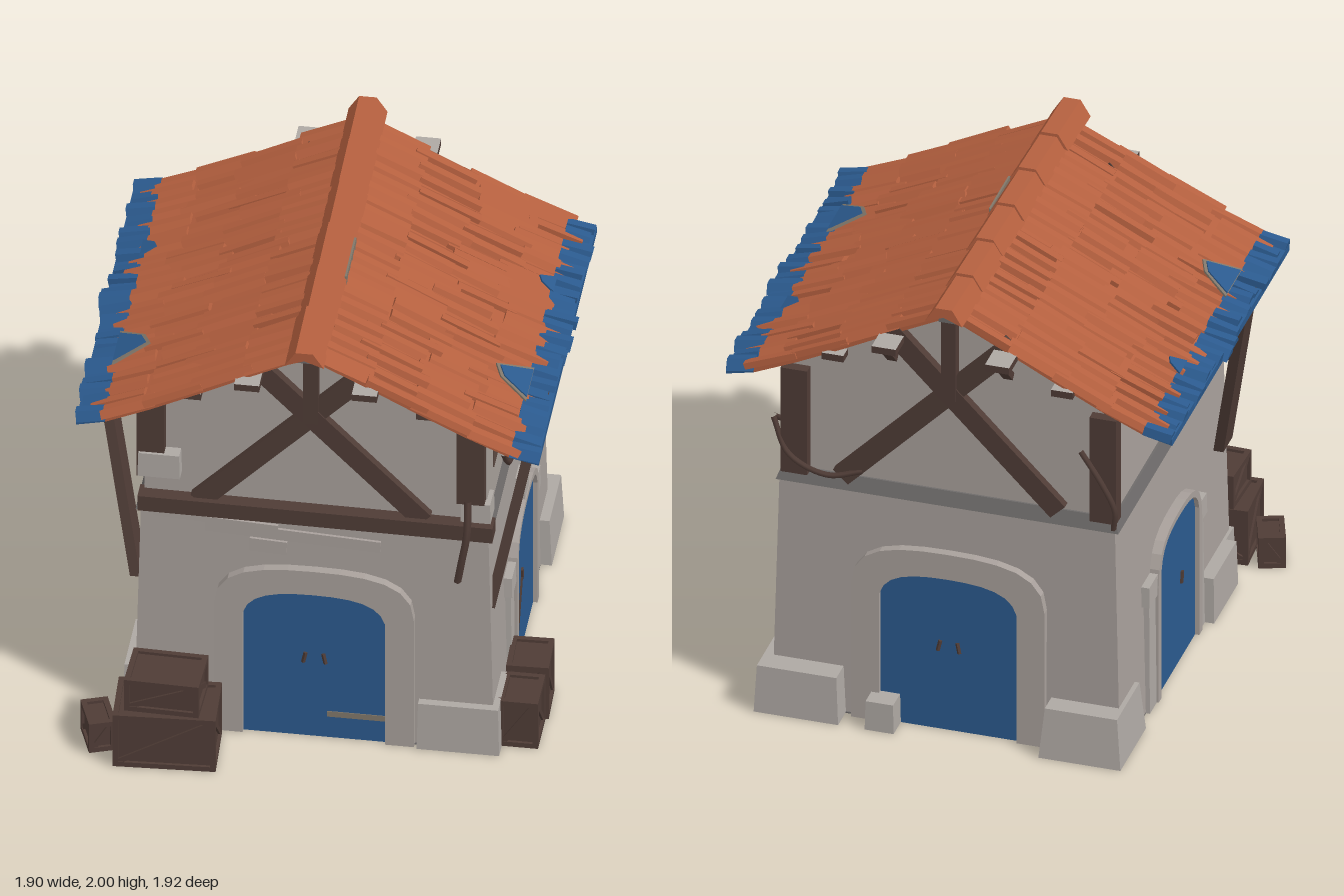
import * as THREE from 'three';
import { mergeGeometries } from 'three/addons/utils/BufferGeometryUtils.js';

const mat = (name, color) => Object.assign(new THREE.MeshStandardMaterial({ color }), { name });

export function createModel() {
  const model = new THREE.Group();
  model.name = 'timberHouse';
  const plaster = mat('plaster', 0xa8a09b), stone = mat('stone', 0xaea8a3), ledgeGrey = mat('ledgeGrey', 0x6e6b6a);
  const wood = mat('wood', 0x4f3c36), blue = mat('bluePaint', 0x2b5a8e), tile = mat('clayTile', 0xb5603f);
  const dark = mat('darkRecess', 0x5c4a43), worn = mat('wornTan', 0x81776a), footing = mat('footing', 0x686566);

  let seed = 7;
  const rnd = (a, b) => {
    seed = (seed * 16807) % 2147483647;
    return a + (b - a) * (seed / 2147483647);
  };
  const add = (name, geo, material, parent = model) => {
    const m = new THREE.Mesh(geo, material);
    m.name = name;
    parent.add(m);
    return m;
  };
  // moves the vertices of a box by a rule and recomputes its flat normals
  const bend = (geo, rule) => {
    const g = geo.toNonIndexed(), p = g.attributes.position, v = new THREE.Vector3();
    for (let i = 0; i < p.count; i++) {
      rule(v.fromBufferAttribute(p, i));
      p.setXYZ(i, v.x, v.y, v.z);
    }
    g.computeVertexNormals();
    return g;
  };
  const box = (name, material, [x0, x1], [y0, y1], [z0, z1], parent = model) => {
    const m = add(name, new THREE.BoxGeometry(x1 - x0, y1 - y0, z1 - z0), material, parent);
    m.position.set((x0 + x1) / 2, (y0 + y1) / 2, (z0 + z1) / 2);
    return m;
  };
  // stone block that narrows towards the top, with a dark underside
  const block = (name, X, Y, Z, k = 0.9, parent = model) => {
    const m = box(name, [stone, stone, stone, footing, stone, stone], X, Y, Z, parent);
    const groups = m.geometry.groups;
    m.geometry = bend(m.geometry, v => { if (v.y > 0) { v.x *= k; v.z *= k; } });
    m.geometry.groups = groups;
    return m;
  };
  const beam = (name, a, b, w, d, parent = model) => {
    const A = new THREE.Vector3(...a), B = new THREE.Vector3(...b);
    const m = add(name, new THREE.BoxGeometry(w, A.distanceTo(B), d), wood, parent);
    m.position.copy(A).lerp(B, 0.5);
    m.quaternion.setFromUnitVectors(new THREE.Vector3(0, 1, 0), B.sub(A).normalize());
    return m;
  };
  const extrude = (shape, depth) => new THREE.ExtrudeGeometry(shape, { depth, bevelEnabled: false, curveSegments: 6 });
  const polygon = pts => new THREE.Shape(pts.map(p => new THREE.Vector2(...p)));
  const cord = (name, pts, r = 0.012) => add(name, new THREE.TubeGeometry(
    new THREE.CatmullRomCurve3(pts.map(p => new THREE.Vector3(...p))), 20, r, 5), wood);

  // walls
  const lower = add('lowerWalls', bend(new THREE.BoxGeometry(1.44, 1.05, 1.47), v => {
    if (v.y > 0) { v.x *= 0.965; v.z *= 0.98; }
  }), plaster);
  lower.position.set(0.015, 0.525, -0.1);
  box('footingPlate', footing, [-0.705, 0.735], [-0.001, 0.004], [-0.84, 0.64]);
  const upper = add('upperWalls', extrude(polygon([[-0.67, 1.04], [0.7, 1.04], [0.7, 1.54], [0, 1.9], [-0.67, 1.54]]), 1.4), plaster);
  upper.position.z = -0.81;
  const ledge = box('wallLedge', ledgeGrey, [-0.7, 0.72], [1.03, 1.09], [-0.84, 0.63]);
  ledge.geometry = bend(ledge.geometry, v => { if (v.y > 0) { v.x *= 0.97; v.z *= 0.97; } });
  box('frontSillBeam', wood, [-0.69, 0.73], [1.035, 1.105], [0.57, 0.65]).rotation.z = -0.006;

  // gable timbers, front and back
  for (const [z, out] of [[0.6, 1], [-0.82, -1]]) {
    const end = new THREE.Group();
    end.name = out > 0 ? 'frontGableTimbers' : 'backGableTimbers';
    model.add(end);
    for (const s of [-1, 1]) {
      beam('crossBrace', [s * 0.45, 1.09, z], [-s * 0.25, 1.81, z + s * 0.004], 0.085, 0.05, end);
      beam('cornerPost', [s * 0.64, out > 0 ? 1.2 : 1.08, z], [s * 0.64, 1.56, z], 0.11, 0.07, end);
      if (out < 0) beam('purlinBracket', [s * 0.24, 1.67, z], [s * 0.24, 1.77, z - 0.1], 0.04, 0.03, end);
    }
    beam('kingPost', [0, 1.53, z + out * 0.01], [0, 1.92, z + out * 0.01], 0.06, 0.05, end);
  }
  block('postStone', [-0.69, -0.52], [1.21, 1.32], [0.52, 0.65], 0.96);
  block('postStoneRight', [0.6, 0.72], [1.11, 1.2], [0.52, 0.63], 0.96);

  for (const s of [-1, 1]) {
    // purlins with weathered grey tops
    for (const [x, y, z0, z1, w] of [[0.235, 1.78, -0.96, 0.77, 0.1], [0.475, 1.655, -0.87, 0.69, 0.09]]) {
      const c = s * x;
      box('purlin', [wood, wood, stone, wood, wood, wood], [c - w / 2, c + w / 2], [y - 0.016, y + 0.014], [z0, z1]);
    }
    // slanting eave brace, sheared so its faces stay square to the walls
    const brace = add('eaveBrace', bend(new THREE.BoxGeometry(0.042, 0.86, 0.12), v => {
      v.x += s * v.y * 0.2;
      v.z -= v.y * 0.245;
    }), wood);
    brace.position.set(s * 0.795, 1.09, 0.415);
  }
  for (const z of [0.345, -0.53])
    box('sideWindow', dark, [0.696, 0.704], [1.24, 1.385], [z - 0.08, z + 0.08]);
  box('ridgeBeam', [wood, wood, wood, wood, ledgeGrey, ledgeGrey], [-0.035, 0.035], [1.9, 1.95], [-0.87, 0.735]);

  // doorways
  const arch = (path, w, h, sh, reverse) => {
    const k = w * 0.55;
    if (reverse) {
      path.lineTo(w, 0);
      path.lineTo(w, sh);
      path.bezierCurveTo(w * 0.92, h - 0.02, k, h, 0, h);
      path.bezierCurveTo(-k, h, -w * 0.92, h - 0.02, -w, sh);
      path.lineTo(-w, 0);
    } else {
      path.moveTo(-w, 0);
      path.lineTo(-w, sh);
      path.bezierCurveTo(-w, h - 0.02, -k, h, 0, h);
      path.bezierCurveTo(k, h, w, h - 0.02, w, sh);
      path.lineTo(w, 0);
    }
    return path;
  };
  const doorway = (name, x, z, turn, w, ow, oh) => {
    const g = new THREE.Group();
    g.name = name;
    g.position.set(x, 0, z);
    g.rotation.y = turn;
    model.add(g);
    const ring = new THREE.Shape();
    arch(ring, ow, oh, oh - 0.2, false);
    arch(ring, w, 0.705, 0.59, true);
    add('doorSurround', extrude(ring, 0.072), plaster, g).position.z = -0.05;
    const leaf = arch(new THREE.Shape(), w, 0.705, 0.59, false);
    add('door', extrude(leaf, 0.008), blue, g).position.z = -0.004;
    return g;
  };
  for (const [name, x, z, turn] of [['frontDoorway', 0.018, 0.639, 0], ['backDoorway', 0.0, -0.839, Math.PI]]) {
    const g = doorway(name, x, z, turn, 0.285, 0.4, 0.82);
    for (const s of [-1, 1]) beam('doorHandle', [s * 0.035, 0.41, 0.008], [s * 0.045, 0.365, 0.012], 0.012, 0.012, g);
    if (turn === 0) box('wornDoorPatch', worn, [0.05, 0.283], [0.102, 0.128], [0.003, 0.007], g);
  }
  for (const s of [-1, 1]) {
    const g = doorway(s > 0 ? 'rightSideDoorway' : 'leftSideDoorway', s > 0 ? 0.738 : -0.708, -0.11, s * Math.PI / 2, 0.25, 0.29, 0.73);
    beam('doorHandle', [-0.07 * s, 0.4, 0.007], [-0.06 * s, 0.35, 0.007], 0.018, 0.012, g);
    for (const [a, b] of [[-0.4, -0.26], [0.255, 0.37]]) {
      block('impostStone', [a, b], [0.5, 0.59], [-0.05, 0.018], 0.95, g);
      block('jambStone', [a + 0.02, b - 0.02], [0, 0.5], [-0.06, 0.014], 0.85, g);
    }
    if (s < 0) continue;
    beam('doorBar', [-0.24, 0.04, 0.007], [-0.07, 0.36, 0.007], 0.012, 0.008, g);
    block('keystone', [-0.05, 0.05], [0.71, 0.825], [-0.06, 0.018], 0.95, g);
  }

  // base stones and worn patches
  block('frontCornerStone', [0.43, 0.76], [0, 0.22], [0.4, 0.67], 0.97);
  block('frontLeftStone', [-0.72, -0.42], [0, 0.2], [0.4, 0.66], 0.95);
  block('backCornerStoneRight', [0.43, 0.78], [0, 0.21], [-0.94, -0.61], 0.94);
  block('backCornerStoneLeft', [-0.74, -0.4], [0, 0.22], [-0.94, -0.6], 0.88);
  block('backDoorStone', [0.2, 0.32], [0, 0.13], [-0.94, -0.82], 0.95);
  block('leftWallStone', [-0.76, -0.6], [0, 0.2], [0.24, 0.56], 0.95);
  for (const [x, y, w, h] of [[-0.07, 0.965, 0.7, 0.05], [-0.17, 0.905, 0.15, 0.06], [-0.38, 1.01, 0.5, 0.025]])
    box('wallPatch', plaster, [x - w / 2, x + w / 2], [y - h / 2, y + h / 2], [0.6, 0.633]).rotation.z = -0.05;

  // hanging cords
  cord('sideCord', [[0.72, 1.2, 0.28], [0.73, 1.1, 0.2], [0.73, 1.085, -0.15], [0.73, 1.12, -0.32],
    [0.725, 1.19, -0.43], [0.72, 1.2, -0.6], [0.72, 1.24, -0.72], [0.73, 1.32, -0.83]]);
  cord('frontCord', [[0.63, 1.22, 0.64], [0.63, 1.08, 0.67], [0.61, 0.95, 0.67], [0.59, 0.83, 0.65]], 0.016);
  cord('backCordRight', [[0.73, 1.32, -0.84], [0.66, 1.17, -0.86], [0.5, 1.1, -0.86], [0.36, 1.13, -0.84]]);
  cord('backCordLeft', [[-0.55, 1.4, -0.86], [-0.64, 1.27, -0.87], [-0.69, 1.15, -0.86], [-0.68, 1.05, -0.84]]);

  // roof decks and tiles
  const slope = [[0, 1.94], [0.22, 1.83], [0.43, 1.72], [0.63, 1.62], [0.81, 1.54], [0.925, 1.514]];
  const tiles = { clay: [], blue: [] };
  const rows = 21, z0 = -0.86, pitch = 1.59 / rows;
  for (const s of [-1, 1]) {
    const deck = (from, to, material, name) => {
      const part = slope.slice(from, to + 1).map(([x, y]) => [s * x, y]);
      const pts = [...part, ...part.map(([x, y]) => [x, y - 0.03]).reverse()];
      add(name, extrude(polygon(pts), 1.56), material).position.z = -0.845;
    };
    deck(0, 4, tile, 'roofDeck');
    deck(4, 5, blue, 'eaveDeck');
    for (let i = 0; i < rows; i++) {
      const z = z0 + (i + 0.5) * pitch, sag = i % 2 ? -0.008 : 0.004;
      for (let j = 0; j < 5; j++) {
        const eave = j === 4, shift = j > 0 && !eave ? rnd(-0.05, 0.05) : 0;
        const [ax, ay] = slope[j], [bx, by] = slope[j + 1];
        const stretch = eave ? rnd(-0.015, 0.01) + (Math.abs(z + 0.15) < 0.12 ? 0.015 : 0) : 0.035;
        const L = Math.hypot(bx - ax, by - ay) + stretch, w = pitch * rnd(1.0, 1.12), skew = rnd(-0.3, 0.3) * pitch;
        const g = bend(new THREE.BoxGeometry(L, eave ? 0.036 : 0.026, w), v => {
          if (v.y > 0) v.z = v.z * 0.45 + skew;
          if (v.x > 0) v.y += eave ? sag : 0.006;
        });
        g.translate(L / 2 + shift, 0.005 + rnd(-0.004, 0.004), 0);
        g.rotateZ(Math.atan2(by - ay, bx - ax));
        g.rotateY(rnd(-0.03, 0.03));
        g.translate(ax, ay, z);
        if (s < 0) g.rotateY(Math.PI).translate(0, 0, 2 * z);
        (eave ? tiles.blue : tiles.clay).push(g);
      }
    }
    // worn paint running up from the eave, with a bare rim on the larger patch
    for (const [material, z, half, x, lift] of [[worn, 0.29, 0.11, 0.665, 0], [blue, 0.29, 0.09, 0.685, 0.006], [blue, -0.38, 0.05, 0.75, 0]]) {
      const dx = 0.82 - x, g = extrude(polygon([[0, -half], [dx, -half * 0.3], [dx * 0.8, half * 0.3], [0, half]]), 0.008);
      g.rotateX(-Math.PI / 2).rotateY(Math.PI);
      g.rotateZ(-0.44).translate(0.825, 1.556 + lift, z);
      if (s < 0) g.rotateY(Math.PI).translate(0, 0, 2 * z);
      add('wornPaint', g, material);
    }
  }
  add('roofTiles', mergeGeometries(tiles.clay), tile);
  add('eaveTiles', mergeGeometries(tiles.blue), blue);

  // ridge caps, with a bare patch under one edge
  const cap = polygon([[-0.078, -0.05], [0, -0.02], [0.078, -0.05], [0.035, 0.018], [-0.035, 0.018]]);
  for (let i = 0; i < 6; i++) {
    const m = add('ridgeCap', extrude(cap, 0.3), tile);
    m.position.set(rnd(-0.004, 0.004), 1.977, -0.925 + i * 0.281);
    m.rotation.x = 0.045;
  }
  box('wornRidgePatch', worn, [0.072, 0.08], [1.905, 1.945], [-0.06, 0.2]);

  // crates
  const crate = (x, y, z, w, h, d, turn = 0) => {
    const g = new THREE.Group();
    g.name = 'crate';
    g.position.set(x, y, z);
    g.rotation.y = turn;
    model.add(g);
    const t = 0.022, e = 0.012;
    box('crateBody', wood, [-w / 2 + e, w / 2 - e], [e, h - e], [-d / 2 + e, d / 2 - e], g);
    for (const s of [-1, 1]) {
      const X = s * (w - t) / 2, Z = s * (d - t) / 2;
      for (const k of [-1, 1]) {
        beam('crateCorner', [X, 0, k * (d - t) / 2], [X, h, k * (d - t) / 2], t, t, g);
        const yy = k > 0 ? h - t / 2 : t / 2;
        beam('crateRail', [-w / 2, yy, Z], [w / 2, yy, Z], t, t, g);
        beam('crateRail', [X, yy, -d / 2], [X, yy, d / 2], t, t, g);
      }
      const zf = s * (d / 2 - 0.008), xf = s * (w / 2 - 0.008);
      beam('crateDiagonal', [-w / 2 + t, t, zf], [w / 2 - t, h - t, zf], t, 0.01, g);
      beam('crateDiagonal', [xf, t, -d / 2 + t], [xf, h - t, d / 2 - t], 0.01, t, g);
    }
  };
  crate(-0.545, 0, 0.82, 0.41, 0.25, 0.26, 0.05);
  crate(-0.55, 0.25, 0.815, 0.3, 0.15, 0.22, -0.03);
  crate(-0.825, 0, 0.79, 0.11, 0.14, 0.17, 0.35);
  crate(0.825, 0, 0.5, 0.16, 0.22, 0.2);
  crate(0.83, 0, 0.3, 0.17, 0.25, 0.2, 0.03);
  return model;
}
